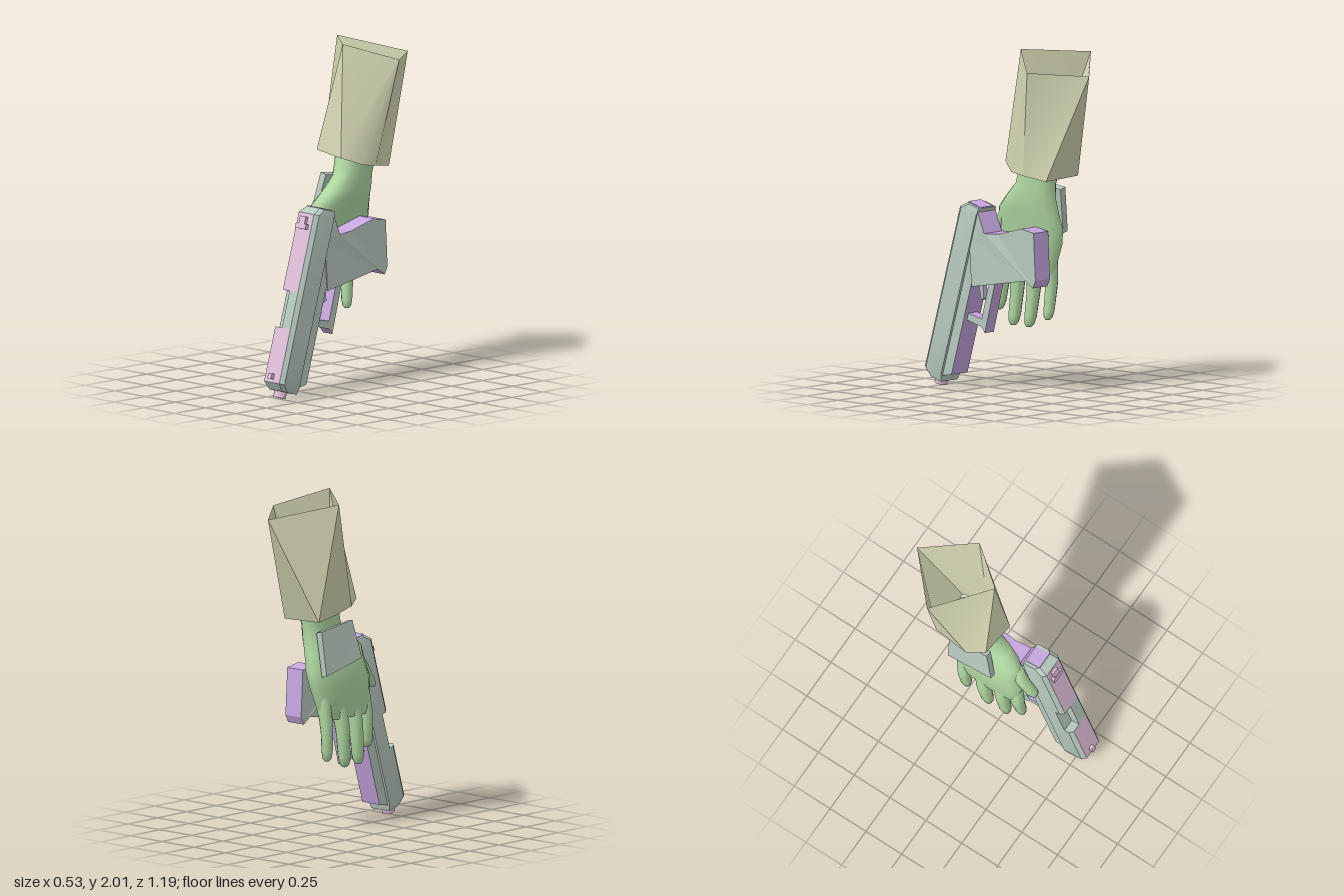
import * as THREE from 'three';
import { toCreasedNormals } from 'three/addons/utils/BufferGeometryUtils.js';

const mat = (name, color, side = THREE.FrontSide) => {
  const m = new THREE.MeshStandardMaterial({ color, side });
  m.name = name;
  return m;
};

// Skin over rings of [x, y, z] points listed upward, each counter-clockwise from above
function loft(rings, crease, capLow = true, capHigh = true) {
  const pos = [], n = rings[0].length;
  const tri = (...p) => p.forEach(v => pos.push(...v));
  for (let r = 0; r + 1 < rings.length; r++) {
    for (let i = 0; i < n; i++) {
      const j = (i + 1) % n, a = rings[r], b = rings[r + 1];
      tri(a[i], a[j], b[j]);
      tri(a[i], b[j], b[i]);
    }
  }
  const cap = (ring, up) => {
    const c = [0, 1, 2].map(k => ring.reduce((s, p) => s + p[k], 0) / n);
    ring.forEach((p, i) => {
      const q = ring[(i + 1) % n];
      up ? tri(c, p, q) : tri(c, q, p);
    });
  };
  if (capLow) cap(rings[0], false);
  if (capHigh) cap(rings[rings.length - 1], true);
  const g = new THREE.BufferGeometry();
  g.setAttribute('position', new THREE.Float32BufferAttribute(pos, 3));
  return toCreasedNormals(g, crease);
}

// Rounded horizontal ring between x0..x1 and z0..z1
function ring(y, x0, x1, z0, z1, sides = 14) {
  const out = [];
  const soft = v => Math.sign(v) * Math.abs(v) ** 0.8;
  for (let i = 0; i < sides; i++) {
    const t = (i / sides) * Math.PI * 2;
    out.push([(x0 + x1) / 2 + soft(Math.cos(t)) * (x1 - x0) / 2, y,
      (z0 + z1) / 2 - soft(Math.sin(t)) * (z1 - z0) / 2]);
  }
  return out;
}

// Side profile of [z, y] points, extruded across x0..x1
function profile(points, x0, x1) {
  const shape = new THREE.Shape(points.map(p => new THREE.Vector2(...p)));
  const g = new THREE.ExtrudeGeometry(shape, { depth: x1 - x0, bevelEnabled: false });
  return g.rotateY(-Math.PI / 2).translate(x1, 0, 0);
}

// Give triangles that face local +z the second material
function paintFront(g) {
  const p = g.attributes.position, v = [0, 1, 2].map(() => new THREE.Vector3());
  const n = new THREE.Vector3();
  for (let i = 0; i < p.count; i += 3) {
    v.forEach((w, k) => w.fromBufferAttribute(p, i + k));
    new THREE.Triangle(...v).getNormal(n);
    g.addGroup(i, 3, n.z > 0.9 ? 1 : 0);
  }
  return g;
}

export function createModel() {
  const sleeveMat = mat('sleeve tan', 0xd8dab6, THREE.DoubleSide);
  const skin = mat('skin green', 0xb2dba4);
  const pink = mat('slide pink', 0xdfbfd9);
  const grey = mat('grey green', 0xb6c9be);
  const purple = mat('purple', 0xc6a6df);

  const model = new THREE.Group();
  const add = (name, geo, material, parent = model) => {
    const m = new THREE.Mesh(geo, material);
    m.name = name;
    parent.add(m);
    return m;
  };
  const box = (name, x, y, z, w, h, d, material, parent) =>
    add(name, new THREE.BoxGeometry(w, h, d).translate(x, y, z), material, parent);

  // Open sleeve, square at the elbow and eight-sided at the cuff
  const cuff = [[0.14, 1.26, -0.345], [-0.13, 1.27, -0.345], [-0.15, 1.3, -0.22], [-0.17, 1.34, -0.11],
    [-0.115, 1.365, -0.01], [0.105, 1.345, 0.01], [0.175, 1.3, -0.1], [0.18, 1.285, -0.2]];
  const corners = [[0.04, 1.89, -0.595], [-0.265, 1.98, -0.32], [0.05, 2, -0.06], [0.262, 1.905, -0.31]];
  add('sleeve', loft([cuff, corners.flatMap(c => [c, c])], 0.6, false, false), sleeveMat);

  // Hand from knuckles to wrist
  add('hand', loft([
    ring(0.66, -0.075, 0.0, -0.23, 0.17),
    ring(0.76, -0.09, 0.02, -0.26, 0.18),
    ring(0.87, -0.1, 0.04, -0.3, 0.18),
    ring(0.96, -0.095, 0.06, -0.315, 0.15),
    ring(1.06, -0.075, 0.085, -0.3, 0.14),
    ring(1.14, -0.055, 0.1, -0.295, 0.06),
    ring(1.22, -0.045, 0.1, -0.295, -0.02),
    ring(1.3, -0.06, 0.108, -0.31, -0.05),
    ring(1.4, -0.07, 0.115, -0.33, -0.07),
  ], 1.2), skin);

  // Fingers: tip to base, bases tucked into the hand
  const digit = (name, tip, base, r) => {
    const steps = [[0, 0.4], [0.04, 0.75], [0.14, 0.95], [0.45, 1.05], [0.6, 1.15], [1, 1.2]];
    const rings = steps.map(([t, k]) => {
      const [x, y, z] = tip.map((v, i) => v + (base[i] - v) * t);
      const bend = 0.015 * Math.sin(t * Math.PI);
      return ring(y, x - r * k - bend, x + r * k - bend, z - r * k, z + r * k, 10);
    });
    add(name, loft(rings, 1.2), skin);
  };
  digit('indexFinger', [-0.02, 0.45, 0.18], [-0.02, 0.8, 0.14], 0.034);
  digit('middleFinger', [-0.04, 0.365, 0.085], [-0.025, 0.8, 0.035], 0.036);
  digit('ringFinger', [-0.045, 0.365, -0.035], [-0.035, 0.8, -0.09], 0.036);
  digit('littleFinger', [-0.045, 0.42, -0.185], [-0.04, 0.8, -0.215], 0.032);
  digit('thumb', [0.005, 0.79, 0.25], [0.02, 1.06, 0.07], 0.036);

  // Slanted guard plate on the back of the hand
  const plateLow = [[-0.085, 0.93, -0.27], [-0.122, 0.94, -0.27], [-0.122, 1.01, 0.03], [-0.085, 1.0, 0.03]];
  const plateHigh = [[-0.05, 1.19, -0.28], [-0.092, 1.2, -0.28], [-0.092, 1.235, -0.02], [-0.05, 1.225, -0.02]];
  add('handPlate', loft([plateLow, plateHigh], 0.3), grey);

  // Slide group: local y runs back along the barrel, local z is the top of the slide
  const slide = new THREE.Group();
  slide.name = 'slide';
  slide.rotation.x = -0.284;
  model.add(slide);
  const section = (y, top = 0.585, inset = 0) => {
    const l = 0.035 + inset, r = 0.2 - inset;
    return [[r, y, 0.435], [l, y, 0.435], [l, y, top - 0.025],
      [l + 0.02, y, top], [r - 0.02, y, top], [r, y, top - 0.025]];
  };
  const port = y => [[0.2, y, 0.435], [0.035, y, 0.435], [0.035, y, 0.53], [0.11, y, 0.53],
    [0.11, y, 0.585], [0.18, y, 0.585], [0.2, y, 0.56]];
  const cover = [grey, pink];
  add('slideFront', paintFront(loft([section(-0.105, 0.54, 0.012), section(-0.065), section(0.258)], 0.5)), cover, slide);
  add('slideRear', paintFront(loft([section(0.475), section(0.935), section(0.977, 0.54, 0.01)], 0.5)), cover, slide);
  add('ejectionPort', loft([port(0.258), port(0.475)], 0.5, false, false), grey, slide);
  box('backPlate', 0.117, 0.978, 0.49, 0.106, 0.008, 0.1, purple, slide);
  box('rearSightBase', 0.113, 0.856, 0.592, 0.085, 0.03, 0.03, pink, slide);
  box('rearSightBlade', 0.113, 0.892, 0.59, 0.048, 0.045, 0.026, pink, slide);
  box('frontSight', 0.112, -0.03, 0.592, 0.03, 0.032, 0.03, pink, slide);
  add('barrel', new THREE.CylinderGeometry(0.038, 0.038, 0.05, 12).translate(0.115, -0.118, 0.495), pink, slide);

  // Frame under the slide, grey flanks and purple edges
  const trim = [grey, purple];
  add('frame', profile([[0.44, -0.07], [0.44, 0.93], [0.37, 0.85], [0.37, -0.035]], 0.05, 0.185), trim, slide);

  // Grip, flaring where it meets the frame
  const grip = profile([[0.2, 0.6], [-0.217, 0.672], [-0.275, 0.635], [-0.297, 0.68], [-0.282, 0.957],
    [-0.185, 0.974], [0, 0.925], [0.1, 0.92], [0.15, 1.04], [0.22, 0.9]], 0.055, 0.178);
  const gp = grip.attributes.position;
  for (let i = 0; i < gp.count; i++) {
    if (gp.getZ(i) > 0.05) gp.setX(i, 0.117 + (gp.getX(i) - 0.117) * 1.22);
  }
  grip.computeVertexNormals();
  add('grip', grip, trim);

  // Trigger guard and trigger
  add('triggerGuard', profile([[0.275, 0.397], [0.153, 0.365], [0.127, 0.333], [0.048, 0.63],
    [0.095, 0.63], [0.153, 0.412], [0.26, 0.437]], 0.08, 0.155), trim);
  add('trigger', profile([[0.175, 0.52], [0.155, 0.53], [0.165, 0.63], [0.2, 0.63]], 0.1, 0.135), trim);

  return model;
}
